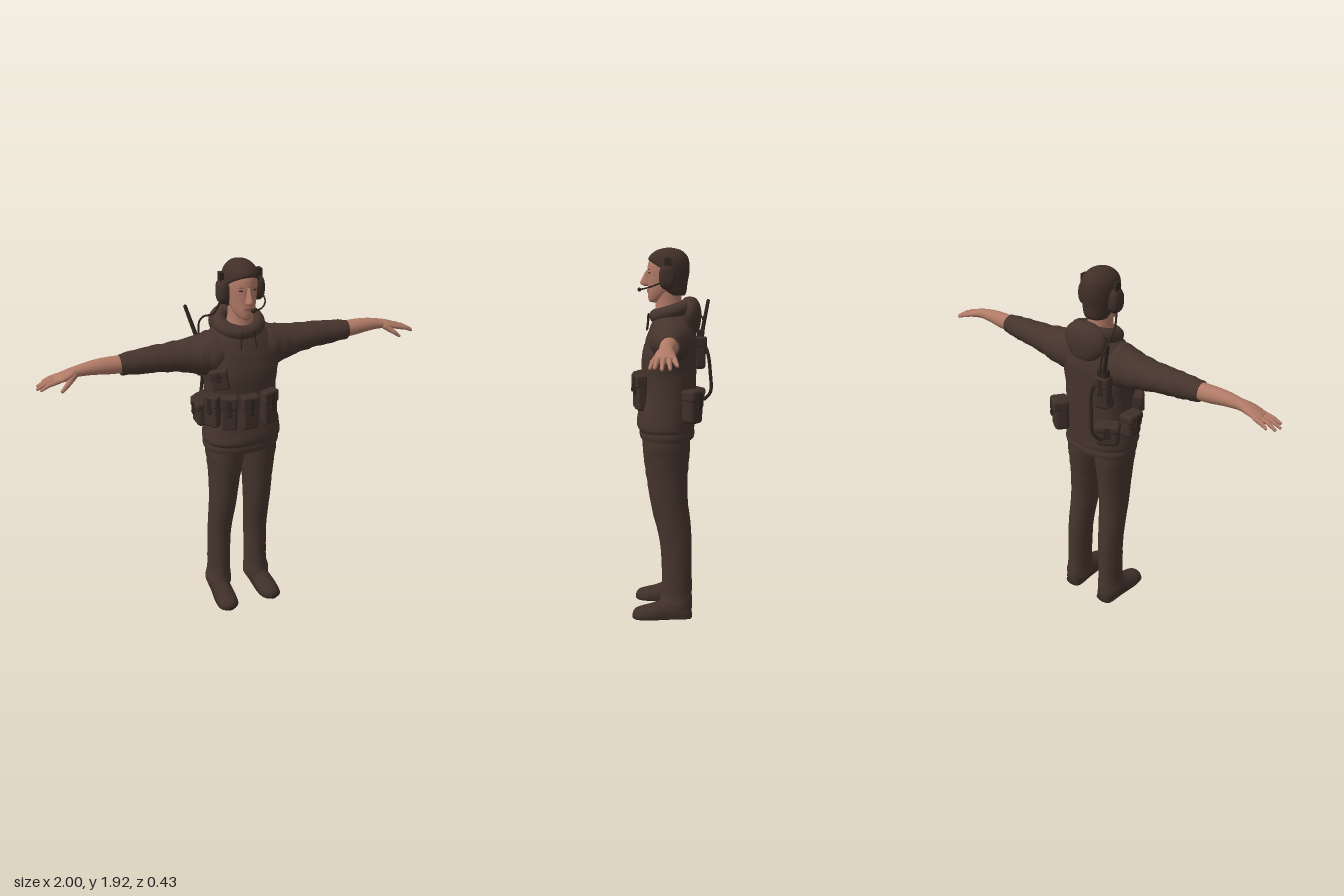
import * as THREE from 'three';
import { mergeGeometries } from 'three/addons/utils/BufferGeometryUtils.js';
import { RoundedBoxGeometry } from 'three/addons/geometries/RoundedBoxGeometry.js';

const mat = (name, color) => Object.assign(new THREE.MeshStandardMaterial({ color }), { name });
const cloth = mat('cloth', 0x46342d), gear = mat('gear', 0x3f2f29), dark = mat('dark gear', 0x30251f);
const skin = mat('skin', 0xb07a66), lipTone = mat('lips', 0x925a4c), hairTone = mat('hair', 0x412f28);
const V = (x, y, z) => new THREE.Vector3(x, y, z);

// Smoothly interpolates rows of numbers (Catmull-Rom)
function refine(rows, n) {
  const out = [], at = i => rows[Math.max(0, Math.min(rows.length - 1, i))];
  for (let i = 0; i < rows.length - 1; i++) for (let k = 0; k < n; k++) {
    const t = k / n, a = at(i - 1), b = at(i), c = at(i + 1), d = at(i + 2);
    out.push(b.map((_, j) => b[j] + 0.5 * t * (c[j] - a[j] + t * (2 * a[j] - 5 * b[j] + 4 * c[j] - d[j]
      + t * (3 * (b[j] - c[j]) + d[j] - a[j])))));
  }
  out.push(rows[rows.length - 1]);
  return out;
}

// Skin over rings [t, cu, cv, ru, rv] along an axis; (u,v) is (y,z) on x, (z,x) on y, (x,y) on z
function loft(axis, rows, { n = 28, power = 2, folds = 0, adjust } = {}) {
  const rings = refine(rows, 4), pos = [], idx = [];
  const put = (t, u, v) => {
    const p = axis === 'x' ? V(t, u, v) : axis === 'y' ? V(v, t, u) : V(u, v, t);
    if (adjust) adjust(p);
    pos.push(p.x, p.y, p.z);
  };
  const ring = r => {
    for (let j = 0; j < n; j++) {
      const a = j / n * Math.PI * 2, c = Math.cos(a), s = Math.sin(a), e = 2 / power;
      const f = 1 + folds * Math.sin(r[0] * 85 + 2 * Math.sin(a * 2 + r[0] * 9)) * Math.sin(a + r[0] * 14);
      put(r[0], r[1] + r[3] * f * Math.sign(c) * Math.abs(c) ** e, r[2] + r[4] * f * Math.sign(s) * Math.abs(s) ** e);
    }
  };
  rings.forEach(ring);
  for (let i = 0; i < rings.length - 1; i++) for (let j = 0; j < n; j++) {
    const a = i * n + j, b = i * n + (j + 1) % n;
    idx.push(a, b, b + n, a, b + n, a + n);
  }
  [rings[0], rings[rings.length - 1]].forEach((r, k) => {
    const s = pos.length / 3;
    ring(r);
    put(r[0], r[1], r[2]);
    for (let j = 0; j < n; j++) {
      const a = s + j, b = s + (j + 1) % n;
      idx.push(...(k ? [a, b, s + n] : [b, a, s + n]));
    }
  });
  const g = new THREE.BufferGeometry();
  g.setAttribute('position', new THREE.Float32BufferAttribute(pos, 3));
  g.setIndex(idx);
  g.computeVertexNormals();
  return g;
}

// Mirrored copy of an indexed geometry, with the corner order restored
function mirror(g) {
  const m = g.clone().scale(-1, 1, 1), ix = m.index.array;
  for (let i = 0; i < ix.length; i += 3) [ix[i], ix[i + 1]] = [ix[i + 1], ix[i]];
  m.computeVertexNormals();
  return m;
}

const ball = (x, y, z, rx, ry, rz) => new THREE.SphereGeometry(1, 24, 16).scale(rx, ry, rz).translate(x, y, z);
const tube = (pts, r) => new THREE.TubeGeometry(new THREE.CatmullRomCurve3(pts.map(p => V(...p))), 28, r, 8);

// Tapered rod with round ends
function rod(a, b, ra, rb) {
  const A = V(...a), B = V(...b), d = B.clone().sub(A);
  const g = new THREE.CylinderGeometry(rb, ra, d.length(), 10);
  g.applyQuaternion(new THREE.Quaternion().setFromUnitVectors(V(0, 1, 0), d.normalize()));
  g.translate(...A.clone().add(B).multiplyScalar(0.5).toArray());
  return mergeGeometries([g, ball(...a, ra, ra, ra), ball(...b, rb, rb, rb)]);
}

export function createModel() {
  const model = new THREE.Group();
  model.name = 'figure';
  const add = (name, geo, material, parent = model) => {
    const m = new THREE.Mesh(geo, material);
    m.name = name;
    parent.add(m);
  };
  const pair = (name, geo, material) => {
    add('left ' + name, geo, material);
    add('right ' + name, mirror(geo), material);
  };

  // Sweater
  add('torso', loft('y', [[0.96, 0.02, 0, 0.135, 0.192], [1.0, 0.022, 0, 0.14, 0.198], [1.03, 0.028, 0, 0.15, 0.205],
    [1.1, 0.024, 0, 0.147, 0.196], [1.2, 0.012, 0, 0.14, 0.185], [1.3, 0.01, 0, 0.14, 0.184], [1.38, 0.01, 0, 0.14, 0.195],
    [1.45, 0, 0, 0.134, 0.2], [1.51, -0.005, 0, 0.12, 0.185], [1.56, -0.01, 0, 0.104, 0.155],
    [1.6, -0.015, 0, 0.085, 0.11], [1.62, -0.015, 0, 0.07, 0.08]], { n: 48, power: 2.25, folds: 0.01 }), cloth);
  add('hem band', loft('y', [[0.965, 0.02, 0, 0.14, 0.198], [0.985, 0.021, 0, 0.144, 0.202], [1.005, 0.022, 0, 0.142, 0.2]],
    { n: 48, power: 2.25 }), cloth);
  pair('sleeve', loft('x', [[0.06, 1.475, -0.005, 0.1, 0.1], [0.14, 1.472, -0.006, 0.108, 0.11], [0.21, 1.469, -0.01, 0.096, 0.1],
    [0.3, 1.474, -0.015, 0.077, 0.084], [0.4, 1.48, -0.015, 0.066, 0.072], [0.5, 1.481, -0.012, 0.06, 0.061],
    [0.58, 1.482, -0.008, 0.052, 0.051], [0.602, 1.482, -0.008, 0.049, 0.049]], { n: 32, folds: 0.045 }), cloth);

  // Hood, collar and drawstrings
  const collar = new THREE.TorusGeometry(0.096, 0.037, 16, 40).rotateX(Math.PI / 2).scale(1, 1, 0.95);
  add('collar', collar.rotateX(0.3).translate(0, 1.612, -0.012), cloth);
  add('hood', loft('y', [[1.5, -0.115, 0, 0.008, 0.02], [1.515, -0.112, 0, 0.03, 0.07], [1.56, -0.1, 0, 0.052, 0.112],
    [1.61, -0.098, 0, 0.056, 0.12], [1.65, -0.096, 0, 0.048, 0.1], [1.675, -0.095, 0, 0.03, 0.06],
    [1.683, -0.095, 0, 0.008, 0.02]]), cloth);
  pair('drawstring', tube([[0.03, 1.6, 0.115], [0.036, 1.56, 0.117], [0.04, 1.515, 0.123]], 0.004), dark);

  // Trousers and shoes
  pair('trouser leg', loft('y', [[0.055, -0.028, 0.117, 0.087, 0.071], [0.09, -0.028, 0.117, 0.087, 0.07],
    [0.14, -0.031, 0.113, 0.08, 0.063], [0.25, -0.032, 0.111, 0.078, 0.062], [0.42, -0.025, 0.107, 0.082, 0.063],
    [0.6, 0.006, 0.1, 0.093, 0.07], [0.75, 0.018, 0.095, 0.105, 0.078], [0.85, 0.021, 0.092, 0.116, 0.088],
    [0.92, 0.022, 0.09, 0.122, 0.098], [0.99, 0.022, 0.09, 0.123, 0.1]], { n: 32, folds: 0.014 }), cloth);
  pair('shoe', loft('z', [[-0.112, 0.115, 0.045, 0.025, 0.03], [-0.095, 0.115, 0.035, 0.046, 0.07], [-0.03, 0.118, 0.03, 0.05, 0.085],
    [0.03, 0.121, 0.025, 0.053, 0.08], [0.09, 0.125, 0.022, 0.058, 0.055], [0.15, 0.128, 0.018, 0.056, 0.042],
    [0.185, 0.13, 0.016, 0.042, 0.032], [0.2, 0.13, 0.018, 0.014, 0.012]],
    { adjust: p => { p.y = Math.max(p.y, 0.008); } }), gear);
  pair('sole', loft('z', [[-0.114, 0.115, 0.01, 0.022, 0.01], [-0.095, 0.115, 0.01, 0.05, 0.01], [0, 0.12, 0.01, 0.055, 0.01],
    [0.09, 0.125, 0.01, 0.062, 0.01], [0.15, 0.128, 0.01, 0.06, 0.01], [0.185, 0.13, 0.01, 0.046, 0.01],
    [0.202, 0.13, 0.01, 0.014, 0.01]], { power: 3 }), dark);

  // Forearms and hands
  pair('forearm and palm', loft('x', [[0.57, 1.483, -0.008, 0.043, 0.042], [0.66, 1.487, -0.008, 0.041, 0.04],
    [0.73, 1.49, -0.006, 0.034, 0.036], [0.8, 1.486, -0.004, 0.026, 0.03], [0.84, 1.479, 0, 0.023, 0.04],
    [0.88, 1.469, -0.001, 0.018, 0.045], [0.912, 1.461, -0.004, 0.012, 0.042]]), skin);
  [[-0.038, -0.052, 0.955, 1.443], [-0.016, -0.024, 0.985, 1.434], [0.006, 0.008, 0.992, 1.433], [0.028, 0.037, 0.978, 1.437]]
    .forEach(([z0, z1, x, y], i) => {
      const mid = [(0.9 + x) / 2 + 0.005, 1.453, (z0 + z1) / 2];
      pair('finger ' + (i + 1), mergeGeometries([rod([0.895, 1.464, z0], mid, 0.012, 0.01), rod(mid, [x, y, z1], 0.01, 0.007)]), skin);
    });
  pair('thumb', mergeGeometries([rod([0.825, 1.475, 0.022], [0.862, 1.448, 0.05], 0.017, 0.012),
    rod([0.862, 1.448, 0.05], [0.89, 1.426, 0.06], 0.012, 0.008)]), skin);

  // Neck, head and face
  add('neck', loft('y', [[1.54, 0.005, 0, 0.09, 0.095], [1.6, 0.008, 0, 0.075, 0.072], [1.65, 0.012, 0, 0.067, 0.06],
    [1.73, 0.015, 0, 0.067, 0.06]]), skin);
  add('head', loft('y', [[1.655, 0.08, 0, 0.022, 0.018], [1.665, 0.068, 0, 0.045, 0.036], [1.7, 0.045, 0, 0.073, 0.056],
    [1.74, 0.03, 0, 0.087, 0.066], [1.78, 0.022, 0, 0.096, 0.072], [1.82, 0.02, 0, 0.099, 0.075],
    [1.86, 0.015, 0, 0.096, 0.073], [1.895, 0.012, 0, 0.075, 0.058], [1.912, 0.01, 0, 0.03, 0.025]], { n: 32 }), skin);
  add('nose', loft('y', [[1.735, 0.118, 0, 0.014, 0.01], [1.742, 0.122, 0, 0.026, 0.017], [1.754, 0.122, 0, 0.034, 0.016],
    [1.78, 0.116, 0, 0.028, 0.011], [1.815, 0.108, 0, 0.017, 0.009]], { n: 16 }), skin);
  add('lips', ball(0, 1.714, 0.113, 0.023, 0.008, 0.009), lipTone);
  pair('eye', ball(0.031, 1.801, 0.106, 0.013, 0.0045, 0.007), dark);
  pair('eyebrow', ball(0.032, 1.818, 0.108, 0.018, 0.004, 0.006), lipTone);
  const hairline = y => 0.03 + 0.1 * THREE.MathUtils.smoothstep(y, 1.8, 1.885);
  add('hair', loft('y', [[1.69, -0.02, 0, 0.05, 0.055], [1.71, -0.01, 0, 0.068, 0.066], [1.75, 0.005, 0, 0.088, 0.077],
    [1.8, 0.014, 0, 0.106, 0.085], [1.84, 0.015, 0, 0.108, 0.086], [1.88, 0.013, 0, 0.097, 0.076], [1.91, 0.011, 0, 0.065, 0.05],
    [1.921, 0.01, 0, 0.03, 0.025], [1.925, 0.01, 0, 0.006, 0.006]],
    { n: 48, adjust: p => { p.z = Math.min(p.z, hairline(p.y)); } }), hairTone);

  // Headset with boom microphone
  pair('ear cup', loft('x', [[0.07, 1.78, 0.015, 0.058, 0.04], [0.095, 1.78, 0.015, 0.06, 0.042], [0.112, 1.78, 0.015, 0.048, 0.034],
    [0.119, 1.78, 0.015, 0.025, 0.018]], { power: 2.6 }), gear);
  pair('ear cup bracket', new THREE.BoxGeometry(0.02, 0.075, 0.035).translate(0.097, 1.835, 0.012), dark);
  add('boom', tube([[0.105, 1.755, 0.04], [0.092, 1.733, 0.1], [0.05, 1.72, 0.148], [0.01, 1.718, 0.158]], 0.004), dark);
  add('microphone', ball(0.008, 1.718, 0.16, 0.014, 0.01, 0.01), dark);
  add('headset cable', tube([[-0.1, 1.73, 0.01], [-0.12, 1.66, -0.03], [-0.145, 1.62, -0.11], [-0.15, 1.56, -0.165],
    [-0.145, 1.45, -0.165]], 0.005), dark);

  // Pouches with flap, strap and buckle
  const pouch = (name, [x, y, z], turn, [w, h, d], roll = 0) => {
    const g = new THREE.Group();
    g.name = name;
    g.position.set(x, y, z);
    g.rotation.set(0, turn, roll, 'YXZ');
    model.add(g);
    add('pocket', new RoundedBoxGeometry(w, h, d, 3, Math.min(w, h, d) * 0.3), gear, g);
    add('flap', new RoundedBoxGeometry(w * 1.05, h * 0.36, d * 1.1, 2, d * 0.22).translate(0, h * 0.33, d * 0.06), gear, g);
    add('strap', new RoundedBoxGeometry(w * 0.25, h * 0.5, 0.008, 2, 0.003).translate(0, h * 0.2, d * 0.61), dark, g);
    add('buckle', new RoundedBoxGeometry(w * 0.36, h * 0.1, 0.012, 2, 0.004).translate(0, h * 0.02, d * 0.6), dark, g);
  };
  pouch('left front pouch', [0.096, 1.205, 0.152], 0.32, [0.085, 0.18, 0.05]);
  pouch('middle front pouch', [-0.015, 1.205, 0.172], 0, [0.085, 0.18, 0.05]);
  pouch('right front pouch', [-0.112, 1.205, 0.148], -0.4, [0.08, 0.18, 0.05]);
  pouch('right side front pouch', [-0.178, 1.205, 0.09], -1.0, [0.08, 0.17, 0.05]);
  pouch('right hip pouch', [-0.203, 1.165, 0], -1.57, [0.1, 0.13, 0.075]);
  pouch('right back pouch', [-0.15, 1.14, -0.115], -2.6, [0.12, 0.12, 0.075]);
  pouch('left back pouch', [0.163, 1.145, -0.11], 2.5, [0.095, 0.17, 0.08]);
  pouch('chest pouch', [-0.148, 1.375, 0.115], -0.5, [0.085, 0.1, 0.035], 0.2);

  // Radio, antenna and hose on the back
  pouch('radio pouch', [-0.145, 1.385, -0.145], -2.9, [0.075, 0.17, 0.06]);
  add('radio', new RoundedBoxGeometry(0.055, 0.06, 0.04, 2, 0.008).translate(-0.15, 1.475, -0.15), dark);
  add('antenna', rod([-0.158, 1.48, -0.158], [-0.208, 1.655, -0.192], 0.011, 0.009), dark);
  add('hose', tube([[-0.12, 1.45, -0.165], [-0.11, 1.38, -0.192], [-0.12, 1.28, -0.205], [-0.13, 1.18, -0.208],
    [-0.16, 1.13, -0.175]], 0.009), dark);
  add('coiled lead', tube([[-0.165, 1.47, -0.165], [-0.205, 1.42, -0.175], [-0.21, 1.34, -0.16], [-0.17, 1.31, -0.16]], 0.006), dark);
  return model;
}
